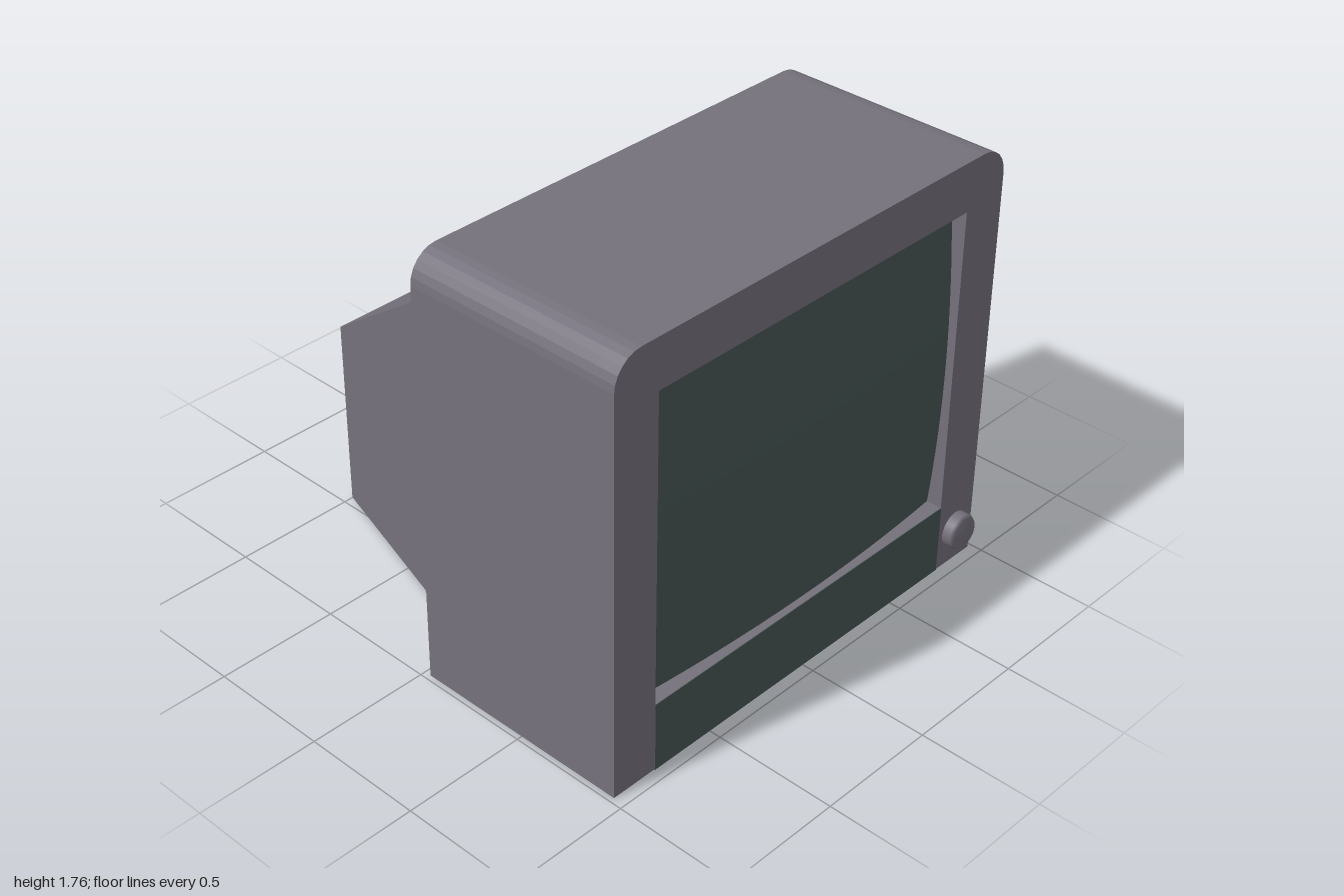
import * as THREE from 'three';

const shell = new THREE.MeshStandardMaterial({ color: 0x75717c });
shell.name = 'greyPlastic';
const glass = new THREE.MeshStandardMaterial({ color: 0x475653 });
glass.name = 'darkGreen';

const BASE = 0.002, TOP = 1.76, HALF = 0.98;
const BACK = 0.03, FRONT = 0.95, TAIL = -1;

export function createModel() {
  const model = new THREE.Group();
  const add = (name, geometry, material) => {
    const mesh = new THREE.Mesh(geometry, material);
    mesh.name = name;
    model.add(mesh);
    return mesh;
  };

  // Case outline: square at the foot, rounded at the two top corners
  const outline = () => {
    const r = 0.12, s = new THREE.Shape();
    s.moveTo(-HALF, BASE);
    s.lineTo(HALF, BASE);
    s.lineTo(HALF, TOP - r);
    s.absarc(HALF - r, TOP - r, r, 0, Math.PI / 2, false);
    s.lineTo(-HALF + r, TOP);
    s.absarc(-HALF + r, TOP - r, r, Math.PI / 2, Math.PI, false);
    s.closePath();
    return s;
  };
  const extrude = (shape, z0, z1) =>
    new THREE.ExtrudeGeometry(shape, { depth: z1 - z0, bevelEnabled: false, curveSegments: 3 })
      .translate(0, 0, z0);

  // Solid case with a bezel around the screen opening
  const w = 0.78, y0 = 0.29, y1 = 1.56, rim = 0.86;
  add('caseBody', extrude(outline(), BACK, rim), shell);
  const frame = outline();
  frame.holes.push(new THREE.Path([
    [-w, y0], [-w, y1], [w, y1], [w, y0],
  ].map(p => new THREE.Vector2(...p))));
  add('bezel', extrude(frame, rim, FRONT), shell);

  // Gently domed screen set into the bezel
  const screen = new THREE.PlaneGeometry(2 * w, y1 - y0, 16, 16);
  const sp = screen.attributes.position;
  for (let i = 0; i < sp.count; i++) {
    const x = sp.getX(i), y = sp.getY(i);
    sp.setZ(i, 0.953 - 0.06 * x * x - 0.08 * y * y);
  }
  screen.computeVertexNormals();
  add('screen', screen.translate(0, (y0 + y1) / 2, 0), glass);

  // Lower front panel
  add('frontPanel', new THREE.BoxGeometry(2 * w, y0, 0.003)
    .translate(0, y0 / 2, FRONT + 0.0005), glass);

  // Tapered rear housing
  const housing = new THREE.BoxGeometry(2, 1, 1);
  const hp = housing.attributes.position;
  for (let i = 0; i < hp.count; i++) {
    const tail = hp.getZ(i) < 0;
    const half = tail ? 0.46 : 0.775, height = tail ? 0.8 : 1.55;
    hp.setXYZ(i, Math.sign(hp.getX(i)) * half, hp.getY(i) > 0 ? height : BASE, tail ? TAIL : BACK);
  }
  housing.computeVertexNormals();
  add('rearHousing', housing, shell);

  // Underside sheet, stopping short of the rear edge
  const end = -0.915, endHalf = 0.486;
  const foot = new THREE.Shape([
    [-HALF, FRONT], [-HALF, BACK], [-0.775, BACK], [-endHalf, end],
    [endHalf, end], [0.775, BACK], [HALF, BACK], [HALF, FRONT],
  ].map(p => new THREE.Vector2(...p)));
  add('underside', new THREE.ShapeGeometry(foot).rotateX(Math.PI / 2), glass);

  // Control knob with a bevelled face
  const profile = [[0.073, 0], [0.073, 0.035], [0.064, 0.05], [0, 0.05]]
    .map(p => new THREE.Vector2(...p));
  const knob = add('knob', new THREE.LatheGeometry(profile, 24), shell);
  knob.rotation.x = Math.PI / 2;
  knob.position.set(0.877, 0.147, FRONT);

  return model;
}
